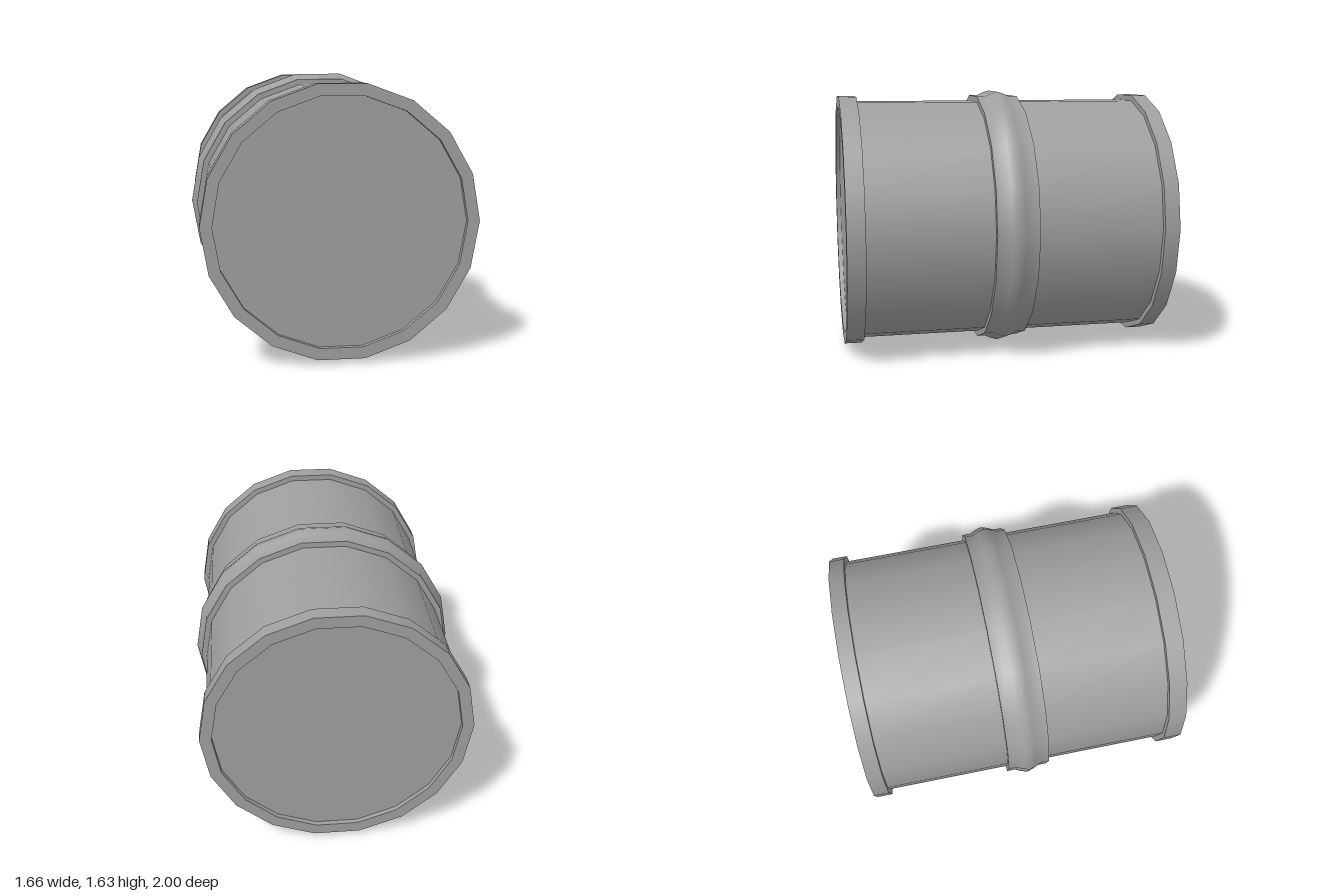
import * as THREE from 'three';
import { mergeGeometries } from 'three/addons/utils/BufferGeometryUtils.js';

const SIDES = 18;
const CENTRE_Y = 0.817;
const TUBE_R = 0.765, RIM_R = 0.8, CAP_R = 0.73, RECESS = 0.03;
const material = new THREE.MeshStandardMaterial({ color: 0x9f9f9f });

// Revolves runs of [radius, z] around the z axis; each run is smooth, joints between runs stay sharp
function revolve(name, runs) {
  const parts = runs.map((run) => {
    const points = run.map(([r, z]) => new THREE.Vector2(r, z));
    return new THREE.LatheGeometry(points, SIDES, Math.PI / 2).rotateX(Math.PI / 2);
  });
  const mesh = new THREE.Mesh(mergeGeometries(parts), material);
  mesh.name = name;
  mesh.position.y = CENTRE_Y;
  return mesh;
}

// Splits a profile into single straight runs so every corner is sharp
const sharp = (points) => points.slice(1).map((p, i) => [points[i], p]);

export function createModel() {
  const group = new THREE.Group();
  group.name = 'pipeCoupling';

  // Main cylinder, front and back halves
  group.add(revolve('frontTube', [[[TUBE_R, 0.13], [TUBE_R, 0.89]]]));
  group.add(revolve('backTube', [[[TUBE_R, -0.905], [TUBE_R, -0.13]]]));

  // End rims with a shallow recess
  group.add(revolve('frontRim', sharp([
    [TUBE_R, 0.89], [RIM_R, 0.89], [RIM_R, 1], [CAP_R, 1], [CAP_R, 1 - RECESS],
  ])));
  group.add(revolve('backRim', sharp([
    [CAP_R, -1 + RECESS], [CAP_R, -1], [RIM_R, -1], [RIM_R, -0.905], [TUBE_R, -0.905],
  ])));

  // Flat discs closing the ends
  group.add(revolve('frontCap', [[[CAP_R, 1 - RECESS], [0, 1 - RECESS]]]));
  group.add(revolve('backCap', [[[0, -1 + RECESS], [CAP_R, -1 + RECESS]]]));

  // Middle band with a rounded ridge
  group.add(revolve('middleBand', [
    [[TUBE_R, -0.13], [RIM_R, -0.13]],
    [[RIM_R, -0.13], [RIM_R, -0.078], [0.818, -0.04], [0.83, 0],
      [0.818, 0.04], [RIM_R, 0.078], [RIM_R, 0.13]],
    [[RIM_R, 0.13], [TUBE_R, 0.13]],
  ]));

  return group;
}
